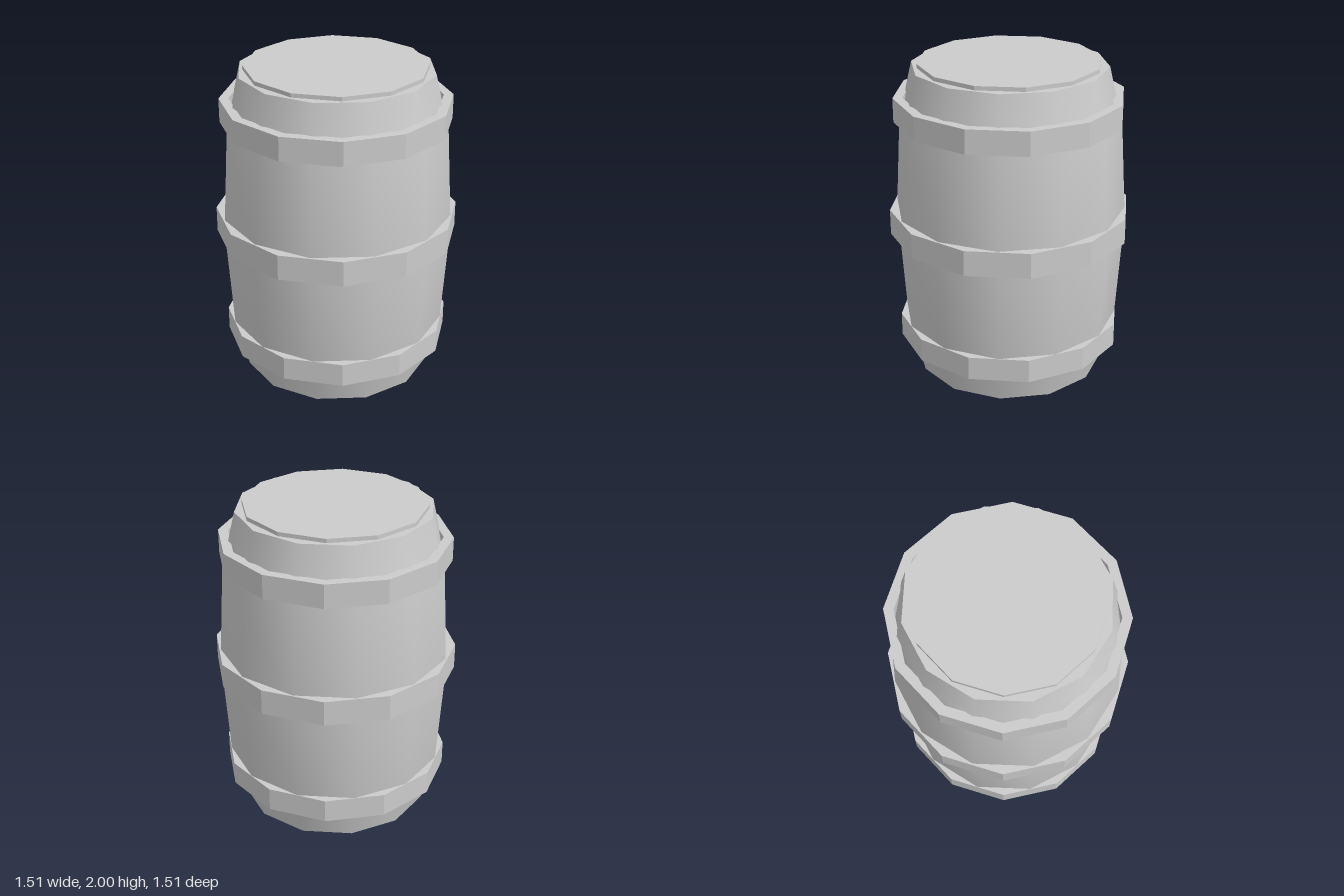
import * as THREE from 'three';

const SIDES = 12;
const HALF_STEP = Math.PI / SIDES;

export function createModel() {
  const barrel = new THREE.Group();
  barrel.name = 'barrel';
  const smooth = new THREE.MeshStandardMaterial({ color: 0xcccccc });
  const flat = new THREE.MeshStandardMaterial({ color: 0xcccccc, flatShading: true });

  const add = (name, geometry, material) => {
    const mesh = new THREE.Mesh(geometry, material);
    mesh.name = name;
    barrel.add(mesh);
    return mesh;
  };
  const lathe = (points, start) => new THREE.LatheGeometry(
    points.map(([r, y]) => new THREE.Vector2(r, y)), SIDES, start);

  // Bulging body, turned half a side against the hoops
  const profile = [
    [0.6, 0], [0.642, 0.18], [0.684, 0.335], [0.725, 0.99],
    [0.684, 1.645], [0.642, 1.795], [0.6, 1.975],
  ];
  add('body', lathe(profile, HALF_STEP), smooth);

  // Flat ends of the body
  for (const [name, y, tilt] of [['bottomEnd', 0, Math.PI / 2], ['topEnd', 1.975, -Math.PI / 2]]) {
    const end = new THREE.CircleGeometry(0.6, SIDES, HALF_STEP);
    end.rotateX(tilt);
    add(name, end, flat).position.y = y;
  }

  // Raised lid
  add('lid', new THREE.CylinderGeometry(0.56, 0.56, 0.025, SIDES), flat).position.y = 1.9875;

  // Three faceted hoops with a rectangular section
  const hoops = [
    ['lowerHoop', 0.65, 0.71, 0.185, 0.335],
    ['middleHoop', 0.69, 0.755, 0.91, 1.07],
    ['upperHoop', 0.65, 0.71, 1.645, 1.795],
  ];
  for (const [name, inner, outer, y0, y1] of hoops) {
    const section = [[inner, y0], [outer, y0], [outer, y1], [inner, y1], [inner, y0]];
    add(name, lathe(section, 0), flat);
  }

  return barrel;
}
